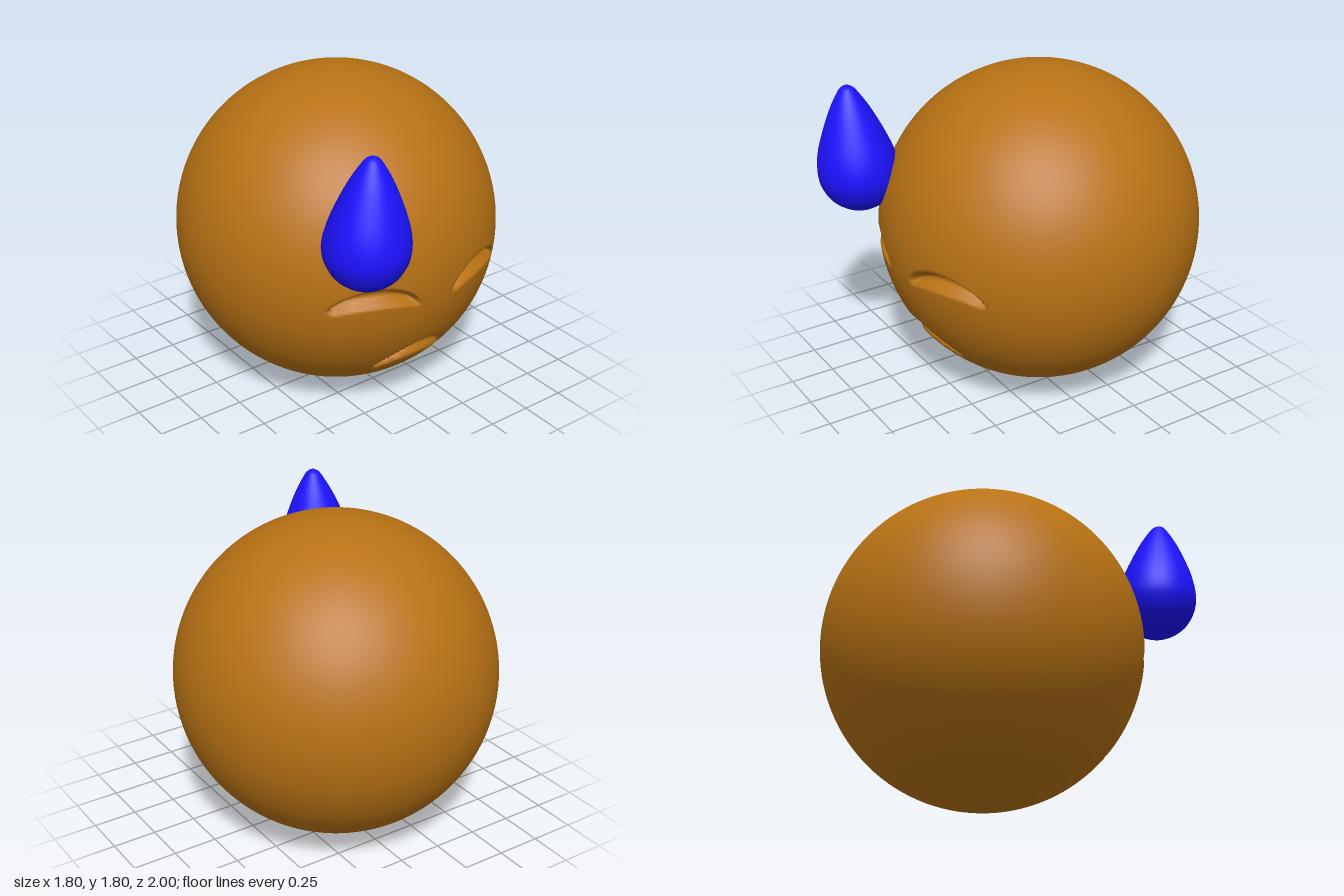
import * as THREE from 'three';

const R = 0.898, CY = 0.905, CZ = -0.102;
const { smoothstep } = THREE.MathUtils;

// Crescent recesses: centre x, half width, corner height, rise of upper and lower arcs
const crescents = [
  { cx: -0.335, w: 0.23, y: 0.785, up: 0.145, low: 0.028, pow: 0.6, depth: 0.065 },
  { cx: 0.335, w: 0.23, y: 0.785, up: 0.145, low: 0.028, pow: 0.6, depth: 0.065 },
  { cx: 0, w: 0.245, y: 0.31, up: 0.19, low: 0.06, pow: 0.75, depth: 0.07 },
];

// Depth of the carving at a point on the front: steep under the upper arc,
// then a floor that rises to a crisp lower lip
function carve(x, y) {
  let d = 0;
  for (const c of crescents) {
    const t = (x - c.cx) / c.w;
    const k = 1 - t * t;
    if (k <= 0) continue;
    const top = c.y + c.up * Math.pow(k, c.pow);
    const bottom = c.y + c.low * k;
    const s = (top - y) / (top - bottom);
    if (s <= 0 || s >= 1) continue;
    d += c.depth * Math.min(1, k * 3) * smoothstep(s, 0, 0.42) * Math.min(1, (1 - s) / 0.4);
  }
  return d;
}

// Ball with its grid tightened towards the face
function ballGeometry() {
  const geo = new THREE.SphereGeometry(R, 240, 140);
  const pos = geo.attributes.position, uv = geo.attributes.uv;
  for (let i = 0; i < pos.count; i++) {
    let a = (uv.getX(i) - 0.5) * Math.PI * 2;
    let p = (1 - uv.getY(i)) * Math.PI;
    a -= 0.6 * Math.sin(a);
    p += 0.25 * Math.sin(2 * p);
    const ring = R * Math.sin(p);
    const x = ring * Math.sin(a), y = CY + R * Math.cos(p);
    let z = ring * Math.cos(a);
    if (z > 0) z -= carve(x, y);
    pos.setXYZ(i, x, y, z + CZ);
  }
  geo.computeVertexNormals();
  return geo;
}

// Teardrop whose tip leans slightly forward
function dropGeometry() {
  const curve = new THREE.SplineCurve([
    [0, 1.01], [0.09, 1.03], [0.17, 1.09], [0.215, 1.175], [0.224, 1.25], [0.207, 1.35],
    [0.165, 1.47], [0.108, 1.6], [0.05, 1.7], [0.025, 1.725], [0, 1.735],
  ].map(([r, y]) => new THREE.Vector2(r, y)));
  const points = curve.getPoints(40).map((p) => p.setX(Math.max(0, p.x)));
  const geo = new THREE.LatheGeometry(points, 28);
  const pos = geo.attributes.position;
  for (let i = 0; i < pos.count; i++) {
    pos.setZ(i, pos.getZ(i) + 0.09 * Math.max(0, pos.getY(i) - 1.24));
  }
  return geo;
}

export function createModel() {
  const model = new THREE.Group();
  const add = (name, geometry, color) => {
    const mesh = new THREE.Mesh(geometry, new THREE.MeshStandardMaterial({ color }));
    mesh.name = name;
    model.add(mesh);
    return mesh;
  };
  add('faceBall', ballGeometry(), 0xb87214);
  add('sweatDrop', dropGeometry(), 0x1c12ff).position.set(-0.457, 0, 0.776);
  return model;
}
